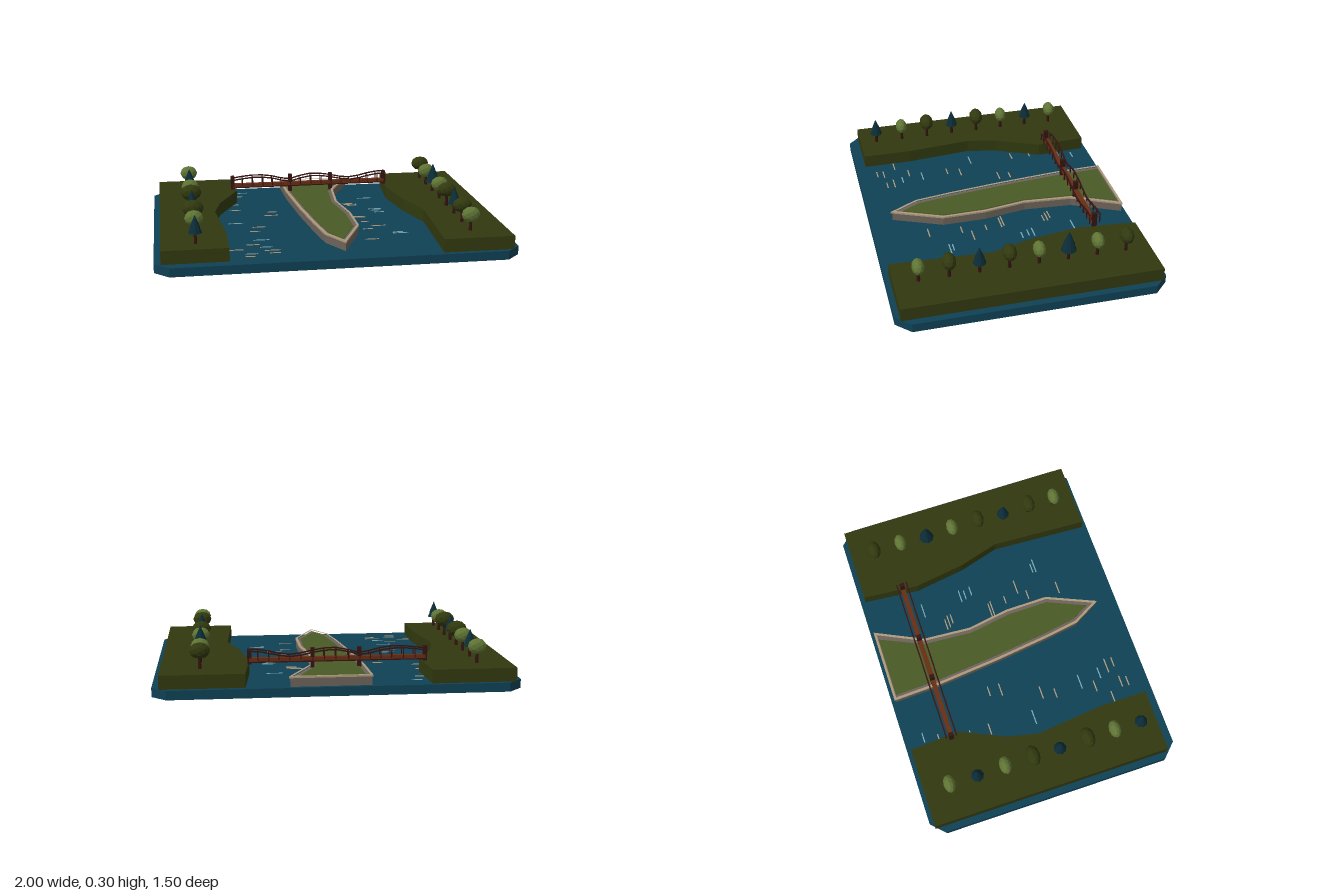
import * as THREE from 'three';

const mat = (name, color, extra = {}) => {
  const m = new THREE.MeshStandardMaterial({ color, ...extra });
  m.name = name;
  return m;
};

// Inset a closed [x, z] outline by distance d
function inset(pts, d) {
  const n = pts.length;
  let area = 0;
  pts.forEach(([x, z], i) => { const q = pts[(i + 1) % n]; area += x * q[1] - q[0] * z; });
  const s = Math.sign(area);
  const normal = (a, b) => {
    const dx = b[0] - a[0], dz = b[1] - a[1], l = Math.hypot(dx, dz);
    return [-dz / l * s, dx / l * s];
  };
  return pts.map((p, i) => {
    const a = normal(pts[(i + n - 1) % n], p), b = normal(p, pts[(i + 1) % n]);
    const k = d / (1 + a[0] * b[0] + a[1] * b[1]);
    return [p[0] + (a[0] + b[0]) * k, p[1] + (a[1] + b[1]) * k];
  });
}

export function createModel() {
  const model = new THREE.Group();
  const water = mat('water blue', 0x0f4155);
  const bankGreen = mat('dark green', 0x31390f);
  const grassGreen = mat('grass green', 0x4a5a25);
  const stone = mat('stone grey', 0x6c635a);
  const tan = mat('pale tan', 0xae9a7c);
  const leafLight = mat('light leaf', 0x5f7434);
  const pine = mat('pine teal', 0x0c2d38);
  const deckBrown = mat('deck brown', 0x682d14);
  const wood = mat('dark wood', 0x341411);
  const ripple = mat('pale blue', 0x78a9b4);
  for (const m of [bankGreen, leafLight, pine]) m.flatShading = true;

  const add = (parent, name, geo, material, x = 0, y = 0, z = 0) => {
    const mesh = new THREE.Mesh(geo, material);
    mesh.name = name;
    mesh.position.set(x, y, z);
    parent.add(mesh);
    return mesh;
  };
  const group = (name) => {
    const g = new THREE.Group();
    g.name = name;
    model.add(g);
    return g;
  };
  // Vertical slab from an [x, z] outline, with an optional hole
  const slab = (parent, name, pts, y0, y1, material, hole) => {
    const v = (list) => list.map(([x, z]) => new THREE.Vector2(x, -z));
    const shape = new THREE.Shape(v(pts));
    if (hole) shape.holes.push(new THREE.Path(v(hole)));
    const geo = new THREE.ExtrudeGeometry(shape, { depth: y1 - y0, bevelEnabled: false });
    geo.rotateX(-Math.PI / 2);
    return add(parent, name, geo, material, 0, y0, 0);
  };

  // Water base with cut corners
  slab(model, 'water', [[-0.92, -0.75], [0.92, -0.75], [1, -0.67], [1, 0.67],
    [0.92, 0.75], [-0.92, 0.75], [-1, 0.67], [-1, -0.67]], 0, 0.05, water);

  // River banks
  slab(model, 'rightBank', [[-0.963, -0.725], [-0.497, -0.725], [-0.48, -0.43], [-0.6, -0.17],
    [-0.64, 0.01], [-0.6, 0.4], [-0.6, 0.69], [-0.963, 0.69]], 0.05, 0.126, bankGreen);
  slab(model, 'leftBank', [[0.505, -0.72], [0.96, -0.72], [0.96, 0.722], [0.562, 0.722],
    [0.59, 0.15], [0.52, -0.09], [0.475, -0.39]], 0.05, 0.126, bankGreen);

  // Island: stone wall, raised rim, grass top
  const outline = [[-0.175, -0.73], [0.275, -0.73], [0.14, -0.45], [0.12, -0.17], [0.16, 0.08],
    [0.163, 0.335], [0.037, 0.625], [-0.055, 0.46], [-0.09, 0.24], [-0.13, -0.08], [-0.165, -0.45]];
  const island = group('island');
  slab(island, 'islandWall', inset(outline, 0.004), 0.05, 0.098, stone);
  slab(island, 'islandRim', outline, 0.098, 0.108, tan, inset(outline, 0.014));
  const lawn = inset(outline, 0.032);
  lawn[0][1] = lawn[1][1] = -0.712;
  slab(island, 'islandGrass', lawn, 0.098, 0.102, grassGreen);

  // Bridge deck and posts
  const bridge = group('bridge');
  const bz = -0.48;
  add(bridge, 'deck', new THREE.BoxGeometry(0.985, 0.02, 0.028), deckBrown, -0.013, 0.15, bz);
  add(bridge, 'deckBeam', new THREE.BoxGeometry(0.985, 0.007, 0.024), wood, -0.013, 0.1365, bz);
  const posts = [[-0.502, 0.126], [-0.133, 0.1], [0.128, 0.1], [0.476, 0.126]];
  for (const [x, y0] of posts)
    add(bridge, 'post', new THREE.BoxGeometry(0.022, 0.21 - y0, 0.028), wood, x, (0.21 + y0) / 2, bz);

  // Wavy handrails with balusters on both sides
  const rail = [[-0.502, 0.19], [-0.44, 0.199], [-0.375, 0.205], [-0.31, 0.204], [-0.25, 0.196],
    [-0.19, 0.18], [-0.133, 0.172], [-0.07, 0.19], [0, 0.203], [0.065, 0.2], [0.128, 0.19],
    [0.195, 0.175], [0.255, 0.169], [0.315, 0.177], [0.37, 0.19], [0.43, 0.2], [0.485, 0.203]];
  for (const side of [-1, 1]) {
    const z = bz + side * 0.03;
    rail.forEach(([x, y], i) => {
      add(bridge, 'baluster', new THREE.BoxGeometry(0.005, y - 0.148, 0.006), wood, x, (y + 0.148) / 2, z);
      if (!i) return;
      const [px, py] = rail[i - 1];
      const len = Math.hypot(x - px, y - py) + 0.004;
      add(bridge, 'handrail', new THREE.BoxGeometry(len, 0.007, 0.008), wood, (x + px) / 2, (y + py) / 2, z)
        .rotation.z = Math.atan2(y - py, x - px);
    });
  }

  // Trees: L = light round, D = dark round, P = pine
  const trunkGeo = new THREE.CylinderGeometry(0.008, 0.01, 0.075, 6);
  const crownGeo = new THREE.IcosahedronGeometry(1, 1);
  const tree = (kind, x, z, s) => {
    const g = group(kind === 'P' ? 'pineTree' : 'roundTree');
    g.position.set(x, 0.126, z);
    add(g, 'trunk', trunkGeo, wood, 0, 0.0375, 0);
    if (kind === 'P') {
      add(g, 'lowerBranches', new THREE.ConeGeometry(0.038 * s, 0.09 * s, 8), pine, 0, 0.06 + 0.045 * s, 0);
      add(g, 'upperBranches', new THREE.ConeGeometry(0.029 * s, 0.07 * s, 8), pine, 0, 0.06 + 0.065 * s, 0);
    } else {
      const light = kind === 'L';
      const crown = add(g, 'crown', crownGeo, light ? leafLight : bankGreen, 0, light ? 0.092 : 0.1, 0);
      crown.scale.set(light ? 0.053 : 0.057, 0.045, light ? 0.035 : 0.039).multiplyScalar(s);
    }
  };
  const rows = [['LPLDPDLP', -0.775], ['DLPLDPDL', 0.745]];
  for (const [kinds, x] of rows)
    [...kinds].forEach((k, i) => {
      const big = k === 'P' && x > 0 && i === 2;
      tree(k, x, -0.575 + i * 0.166, big ? 1.18 : k === 'D' && x < 0 ? 1.08 : 1);
    });

  // Ripples on the water: [x, z, length]
  const dash = (list, name, material) => {
    for (const [x, z, l] of list)
      add(model, name, new THREE.BoxGeometry(l, 0.003, 0.007), material, x, 0.0515, z);
  };
  dash([[-0.46, -0.55, 0.05], [-0.5, -0.365, 0.05], [-0.505, -0.247, 0.07], [-0.283, -0.18, 0.06],
    [-0.295, -0.11, 0.08], [-0.39, 0.115, 0.08], [-0.42, 0.195, 0.06], [-0.455, 0.435, 0.07],
    [-0.555, 0.513, 0.08], [-0.355, 0.543, 0.09], [-0.475, 0.59, 0.07], [-0.345, 0.587, 0.06],
    [-0.485, 0.63, 0.06], [0.205, -0.292, 0.07], [0.22, -0.272, 0.08], [0.23, -0.25, 0.06],
    [0.205, -0.008, 0.1], [0.215, 0.008, 0.1], [0.245, 0.1, 0.05], [0.305, 0.19, 0.09],
    [0.235, 0.243, 0.06], [0.22, 0.435, 0.08]], 'ripple', tan);
  dash([[-0.43, -0.635, 0.06], [-0.52, 0.025, 0.09], [-0.4, 0.357, 0.09], [-0.385, 0.485, 0.07],
    [0.335, -0.4, 0.09], [0.355, -0.155, 0.08], [0.355, -0.125, 0.06], [0.37, -0.085, 0.06],
    [0.395, 0.325, 0.06], [0.405, 0.345, 0.09]], 'blueRipple', ripple);

  return model;
}
